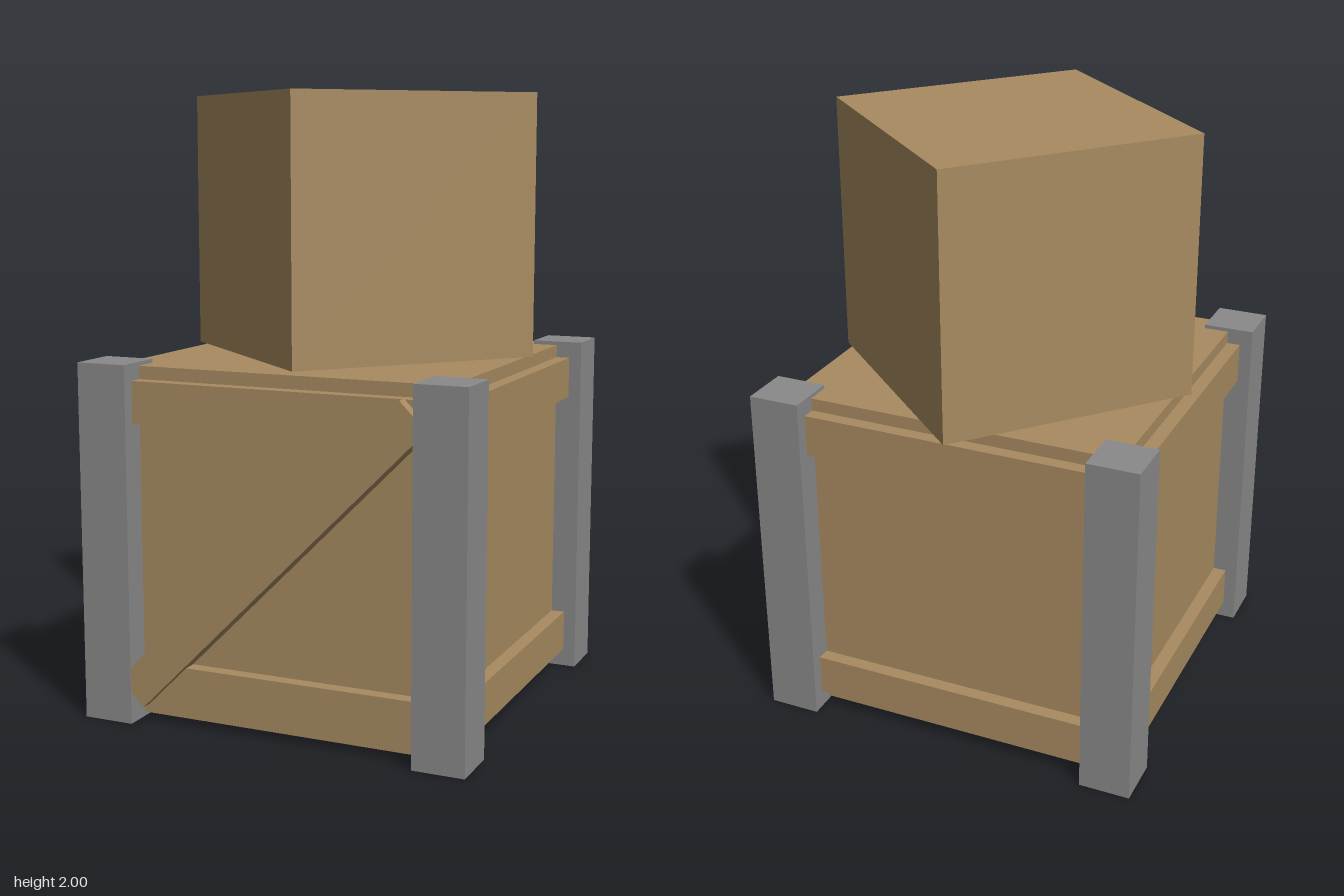
import * as THREE from 'three';

export function createModel() {
  const model = new THREE.Group();
  model.name = 'stackedCrates';

  const wood = new THREE.MeshStandardMaterial({ color: 0xa88b61 });
  wood.name = 'tan wood';
  const metal = new THREE.MeshStandardMaterial({ color: 0x8a8a8a });
  metal.name = 'grey metal';

  function box(name, size, position, material, parent) {
    const mesh = new THREE.Mesh(new THREE.BoxGeometry(...size), material);
    mesh.name = name;
    mesh.position.set(...position);
    parent.add(mesh);
    return mesh;
  }

  // Large crate, centred slightly forward of the origin
  const crate = new THREE.Group();
  crate.name = 'largeCrate';
  crate.position.set(0, 0.58, 0.02);
  model.add(crate);

  const half = 0.565;
  box('crateBody', [half * 2, 1.135, half * 2], [0, 0, 0], wood, crate);

  // Corner posts
  for (const x of [-1, 1]) {
    for (const z of [-1, 1]) {
      box('cornerPost', [0.17, 1.16, 0.17], [x * 0.567, 0, z * 0.567], metal, crate);
    }
  }

  // Horizontal rails at the top and bottom of all four sides
  for (const y of [-0.452, 0.457]) {
    for (const s of [-1, 1]) {
      box('sideRail', [0.045, 0.137, 1.1], [s * (half + 0.0225), y, 0], wood, crate);
      box('frontBackRail', [1.1, 0.137, 0.045], [0, y, s * (half + 0.0225)], wood, crate);
    }
  }

  // Diagonal brace on the front only
  const brace = box('diagonalBrace', [1.36, 0.12, 0.083], [0, 0.004, half + 0.0425], wood, crate);
  brace.rotation.z = Math.PI / 4;

  // Small plain box set askew on top
  const small = box('smallBox', [0.85, 0.85, 0.85], [-0.01, 1.575, -0.075], wood, model);
  small.rotation.y = -0.727;

  return model;
}
